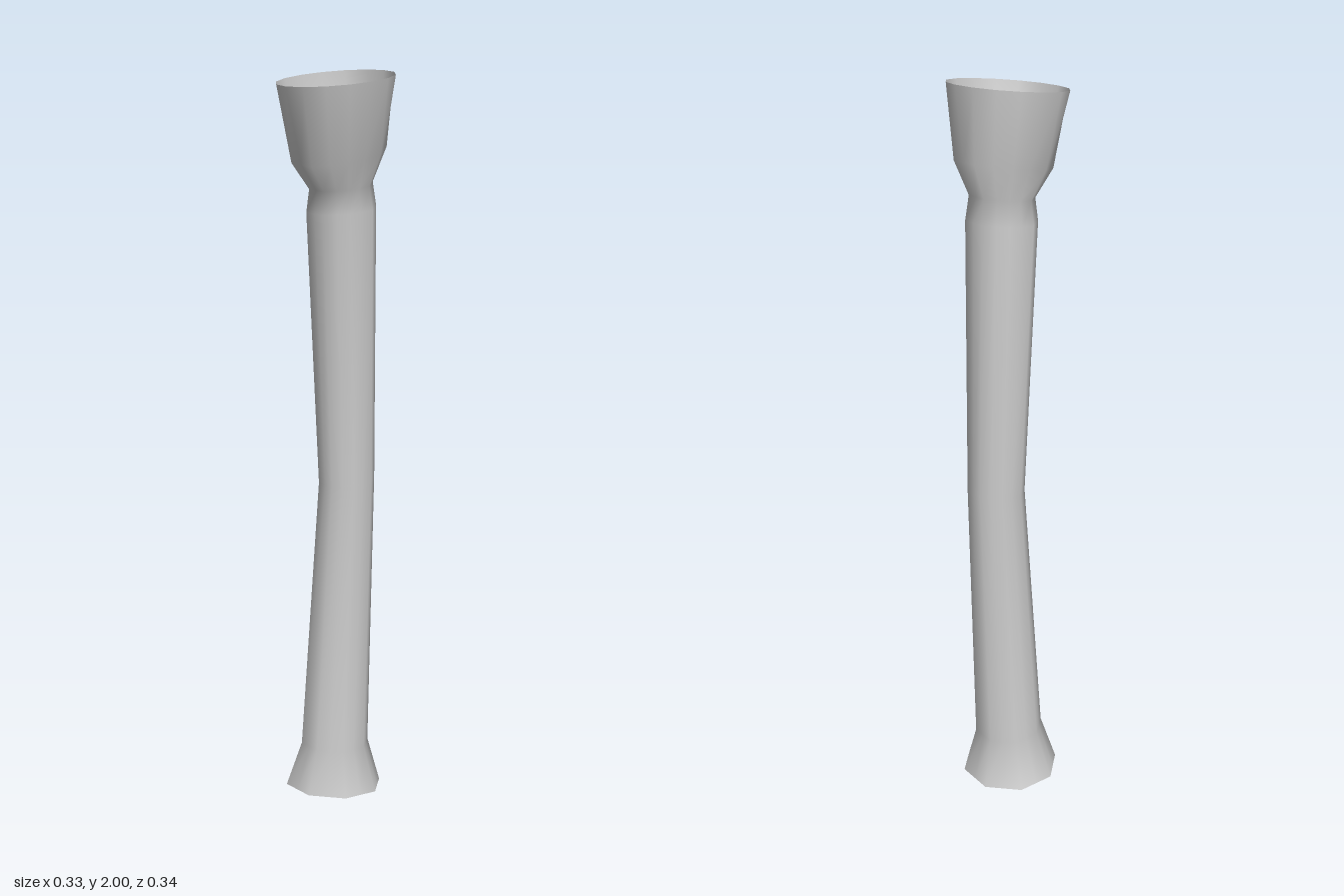
import * as THREE from 'three';

const SIDES = 16;

// Rings from foot to rim: front y, back y, x min, x max, z min, z max, round (16 sides) or octagonal
const RINGS = [
  [0.02, 0.005, -0.165, 0.11, -0.17, 0.097, false],
  [0.145, 0.135, -0.115, 0.075, -0.13, 0.065, false],
  [0.89, 0.91, -0.081, 0.075, -0.148, 0.012, false],
  [1.63, 1.65, -0.09, 0.1, -0.12, 0.071, false],
  [1.69, 1.715, -0.08, 0.092, -0.108, 0.066, false],
  [1.755, 1.81, -0.116, 0.13, -0.148, 0.127, false],
  [1.955, 2.0, -0.147, 0.163, -0.15, 0.17, true],
];

// Points of one tilted ring
function ringPoints([yFront, yBack, x0, x1, z0, z1, round]) {
  const points = [];
  for (let j = 0; j < SIDES; j++) {
    const a = (j / SIDES) * Math.PI * 2;
    const r = !round && j % 2 ? Math.cos(Math.PI / 8) : 1;
    const c = Math.cos(a) * r, s = Math.sin(a) * r;
    points.push(
      (x0 + x1) / 2 + (c * (x1 - x0)) / 2,
      (yFront + yBack) / 2 + (s * (yFront - yBack)) / 2,
      (z0 + z1) / 2 + (s * (z1 - z0)) / 2
    );
  }
  return points;
}

function makeMesh(name, positions, index) {
  const geometry = new THREE.BufferGeometry();
  geometry.setAttribute('position', new THREE.Float32BufferAttribute(positions, 3));
  geometry.setIndex(index);
  geometry.computeVertexNormals();
  const material = new THREE.MeshStandardMaterial({ color: 0xcccccc, side: THREE.DoubleSide });
  const mesh = new THREE.Mesh(geometry, material);
  mesh.name = name;
  return mesh;
}

export function createModel() {
  const group = new THREE.Group();
  group.name = 'bentTube';

  // Bent shaft with a flared foot and an open cup, skinned ring to ring
  const index = [];
  for (let i = 0; i < RINGS.length - 1; i++) {
    for (let j = 0; j < SIDES; j++) {
      const a = i * SIDES + j;
      const b = i * SIDES + ((j + 1) % SIDES);
      index.push(a, a + SIDES, b, b, a + SIDES, b + SIDES);
    }
  }
  group.add(makeMesh('shaftAndCup', RINGS.flatMap(ringPoints), index));

  // Slightly hollow underside closing the foot
  const capIndex = [];
  for (let j = 0; j < SIDES; j++) capIndex.push(SIDES, j, (j + 1) % SIDES);
  group.add(makeMesh('footBase', [...ringPoints(RINGS[0]), -0.028, 0.03, -0.037], capIndex));

  return group;
}
